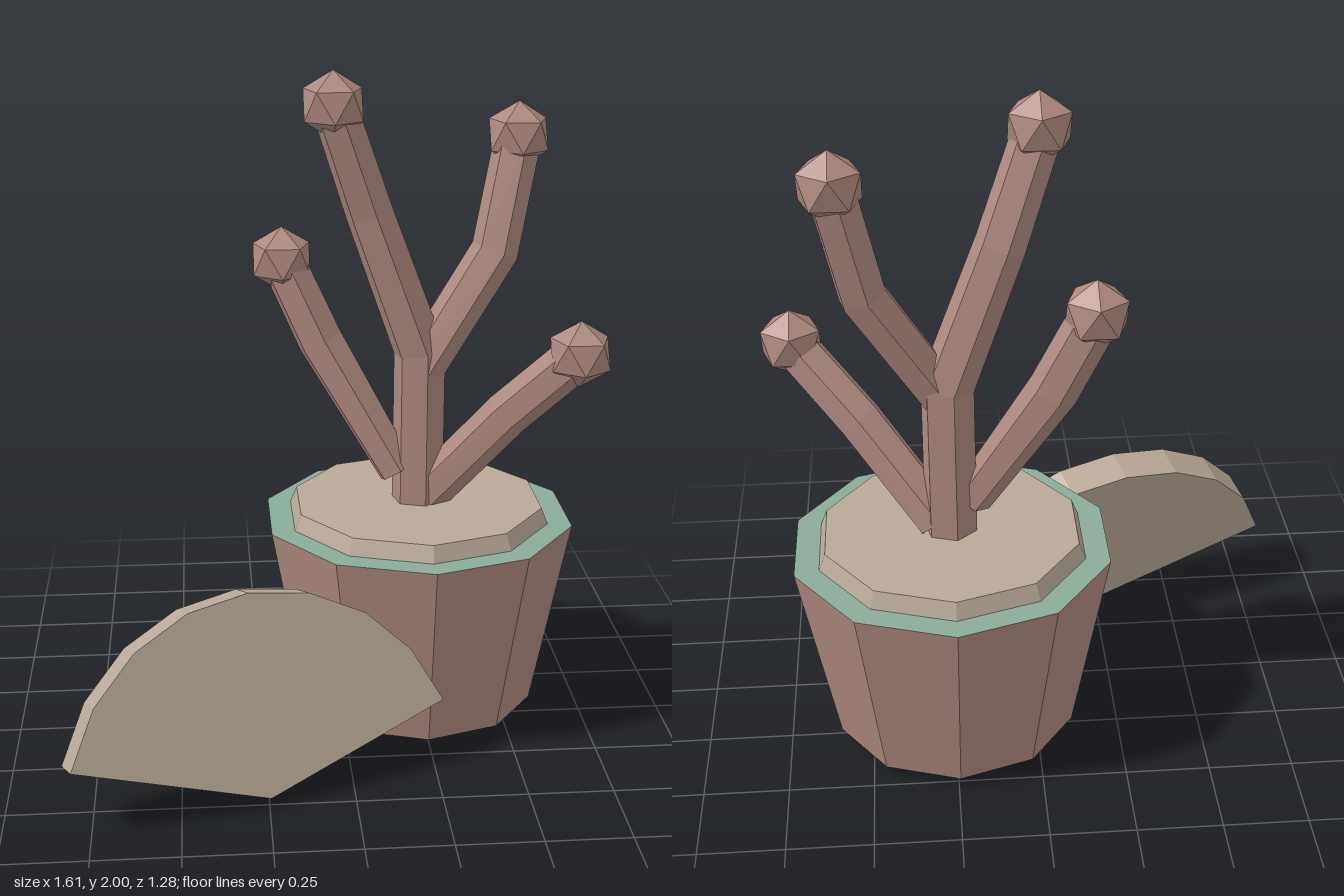
import * as THREE from 'three';

const mat = (name, color) => {
  const m = new THREE.MeshStandardMaterial({ color });
  m.name = name;
  return m;
};

// Facets a geometry so that every face is flat
function faceted(geo) {
  const g = geo.index ? geo.toNonIndexed() : geo;
  g.computeVertexNormals();
  return g;
}

// Capped hexagonal tube with angular bends through the given points
function branchGeometry(points, radii, sides = 6) {
  const pts = points.map((p) => new THREE.Vector3(...p));
  const last = pts.length - 1;
  const zAxis = new THREE.Vector3(0, 0, 1);
  const pos = [], index = [];
  pts.forEach((p, i) => {
    const t = new THREE.Vector3();
    if (i > 0) t.add(p.clone().sub(pts[i - 1]).normalize());
    if (i < last) t.add(pts[i + 1].clone().sub(p).normalize());
    t.normalize();
    const u = new THREE.Vector3().crossVectors(t, zAxis).normalize();
    const v = new THREE.Vector3().crossVectors(u, t);
    for (let k = 0; k < sides; k++) {
      const a = ((k + 0.3) / sides) * Math.PI * 2;
      const q = p.clone()
        .addScaledVector(u, Math.cos(a) * radii[i])
        .addScaledVector(v, Math.sin(a) * radii[i]);
      pos.push(q.x, q.y, q.z);
    }
  });
  const bottom = pos.length / 3, top = bottom + 1;
  pos.push(...pts[0].toArray(), ...pts[last].toArray());
  for (let k = 0; k < sides; k++) {
    const n = (k + 1) % sides;
    for (let i = 0; i < last; i++) {
      const a = i * sides + k, b = i * sides + n;
      index.push(a, a + sides, b, b, a + sides, b + sides);
    }
    index.push(bottom, k, n, top, last * sides + n, last * sides + k);
  }
  const g = new THREE.BufferGeometry();
  g.setAttribute('position', new THREE.Float32BufferAttribute(pos, 3));
  g.setIndex(index);
  return faceted(g);
}

export function createModel() {
  const model = new THREE.Group();
  model.name = 'pottedPlant';
  const brown = mat('dustyBrown', 0xae8a80);
  const tan = mat('sandTan', 0xb8a898);
  const green = mat('sageGreen', 0x8aab9a);

  const add = (name, geo, material, parent = model) => {
    const mesh = new THREE.Mesh(geo, material);
    mesh.name = name;
    parent.add(mesh);
    return mesh;
  };

  // Ten-sided tapered pot with a green top face
  const cx = 0.245, cz = -0.155;
  add('pot', faceted(new THREE.CylinderGeometry(0.483, 0.37, 0.595, 10)), [brown, green, brown])
    .position.set(cx, 0.3275, cz);

  // Soil disc
  add('soil', faceted(new THREE.CylinderGeometry(0.388, 0.408, 0.05, 10)), tan)
    .position.set(cx, 0.65, cz);

  // Trunk and branches, each ending in a knob
  const plant = new THREE.Group();
  plant.name = 'plant';
  model.add(plant);
  const branches = [
    { name: 'trunkBranch', radii: [0.08, 0.08, 0.073, 0.068],
      path: [[cx, 0.63, cz], [cx, 1.15, cz], [0.09, 1.575, -0.155], [-0.02, 1.9, -0.12]] },
    { name: 'upperLeftBranch', radii: [0.07, 0.072, 0.07],
      path: [[0.25, 1.1, -0.145], [0.47, 1.45, -0.18], [0.54, 1.79, -0.23]] },
    { name: 'lowerRightBranch', radii: [0.06, 0.073, 0.07],
      path: [[0.18, 0.77, -0.145], [-0.05, 1.165, -0.235], [-0.165, 1.415, -0.27]] },
    { name: 'lowerLeftBranch', radii: [0.07, 0.07, 0.068],
      path: [[0.28, 0.7, -0.15], [0.5, 0.985, -0.035], [0.69, 1.195, 0.065]] },
  ];
  const knob = new THREE.IcosahedronGeometry(0.1, 0);
  knob.rotateZ(Math.atan2(1, (1 + Math.sqrt(5)) / 2)); // one corner straight up
  knob.rotateY(-Math.PI / 2);
  for (const { name, radii, path } of branches) {
    add(name, branchGeometry(path, radii), brown, plant);
    add(name + 'Knob', knob, brown, plant).position.set(...path[path.length - 1]);
  }

  // Thick fan-shaped slab leaning against the pot
  const fan = new THREE.Shape();
  fan.moveTo(0, 0);
  for (let i = 0; i <= 8; i++) {
    const a = Math.PI * (0.1 + i * 0.1);
    fan.lineTo(0.593 * Math.cos(a), 0.593 * Math.sin(a));
  }
  fan.closePath();
  const fanGeo = new THREE.ExtrudeGeometry(fan, { depth: 0.11, bevelEnabled: false });
  fanGeo.translate(0, 0, -0.11);
  const slab = add('fanSlab', faceted(fanGeo), tan);
  slab.rotation.set(-0.294, 0.315, 0, 'YXZ');
  slab.position.set(-0.245, 0.032, 0.52);

  return model;
}
